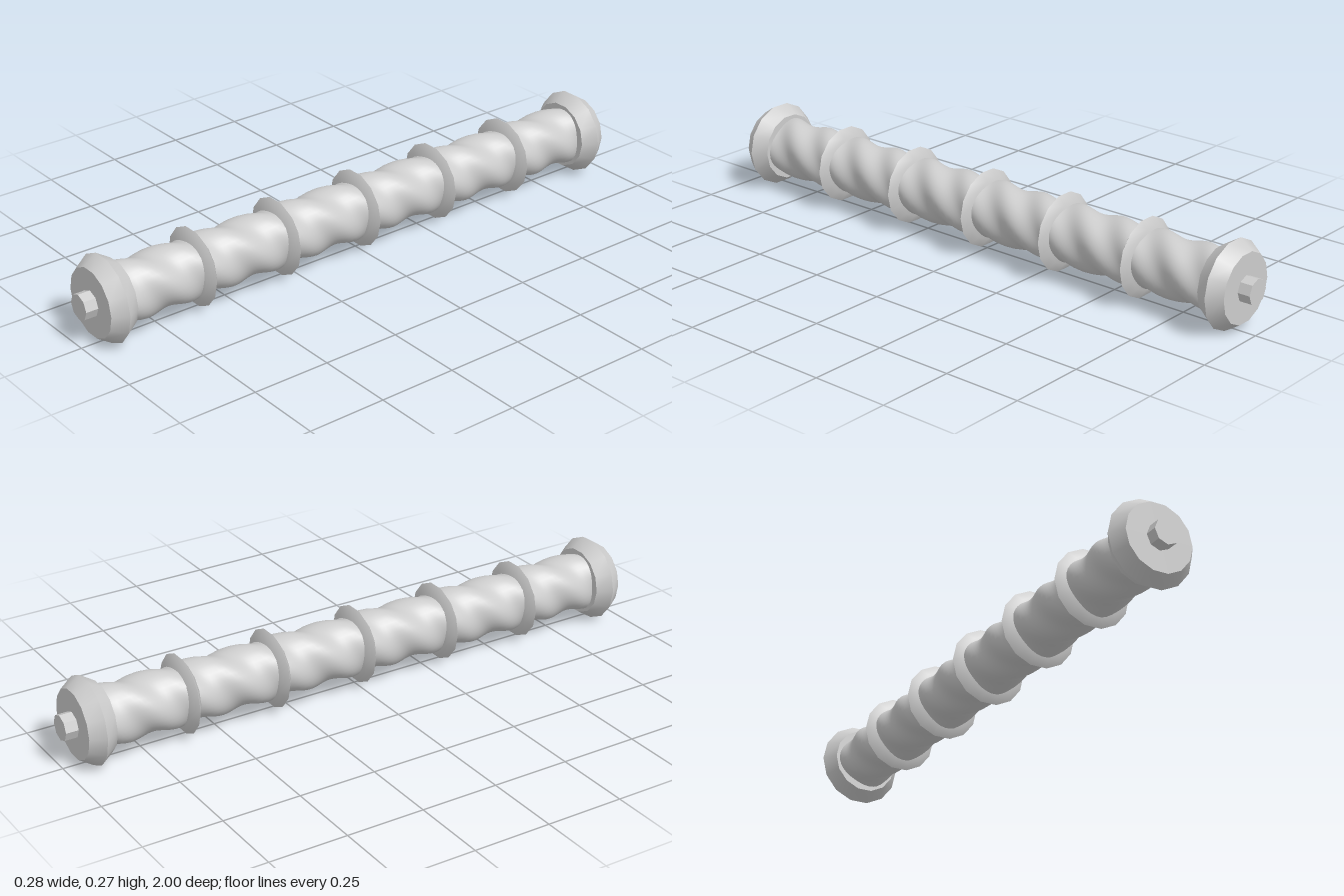
import * as THREE from 'three';
import { mergeVertices, toCreasedNormals } from 'three/addons/utils/BufferGeometryUtils.js';

const SIDES = 14;
const AXIS_HEIGHT = 0.135;
const RING_SPACING = 0.305;

// Solid of revolution around z from [radius, z] points, with sharp profile edges
function turned(points, sides) {
  const profile = points.map(([r, z]) => new THREE.Vector2(r, z));
  const geometry = new THREE.LatheGeometry(profile, sides, Math.PI / 2);
  geometry.rotateX(Math.PI / 2);
  return toCreasedNormals(geometry, 0.6);
}

// Closed double-bevelled disc, widest in the middle
function bevelledDisc(rim, face, halfWidth) {
  return turned([[0, -halfWidth], [face, -halfWidth], [rim, 0], [face, halfWidth], [0, halfWidth]], SIDES);
}

// Tube whose surface carries three shallow spiralling lobes
function spiralBody(length, radius, depth, period) {
  let geometry = new THREE.CylinderGeometry(1, 1, length, 36, 140, true);
  geometry.rotateX(Math.PI / 2);
  const p = geometry.attributes.position;
  for (let i = 0; i < p.count; i++) {
    const angle = Math.atan2(p.getY(i), p.getX(i));
    const z = p.getZ(i);
    const r = radius + depth * Math.sin(3 * angle - (z * 2 * Math.PI) / period);
    p.setXY(i, r * Math.cos(angle), r * Math.sin(angle));
  }
  geometry.deleteAttribute('uv');
  geometry.deleteAttribute('normal');
  geometry = mergeVertices(geometry, 1e-5);
  geometry.computeVertexNormals();
  return geometry;
}

export function createModel() {
  const group = new THREE.Group();
  group.name = 'spiralRoller';
  const grey = new THREE.MeshStandardMaterial({ color: 0xcccccc });
  grey.name = 'light grey';

  const add = (name, geometry, z = 0) => {
    const mesh = new THREE.Mesh(geometry, grey);
    mesh.name = name;
    mesh.position.set(0, AXIS_HEIGHT, z);
    group.add(mesh);
  };

  add('spiralBody', spiralBody(1.76, 0.091, 0.006, RING_SPACING / 2));

  // Evenly spaced rings along the body
  const ring = bevelledDisc(0.125, 0.098, 0.018);
  for (let i = -2; i <= 2; i++) add('ring', ring, i * RING_SPACING);

  // End caps and the axle stubs sticking out of them
  const cap = bevelledDisc(0.138, 0.109, 0.045);
  const stub = turned([[0, -0.03], [0.041, -0.03], [0.041, 0.03], [0, 0.03]], 8);
  for (const side of [-1, 1]) {
    add('endCap', cap, side * 0.915);
    add('axleStub', stub, side * 0.97);
  }
  return group;
}
